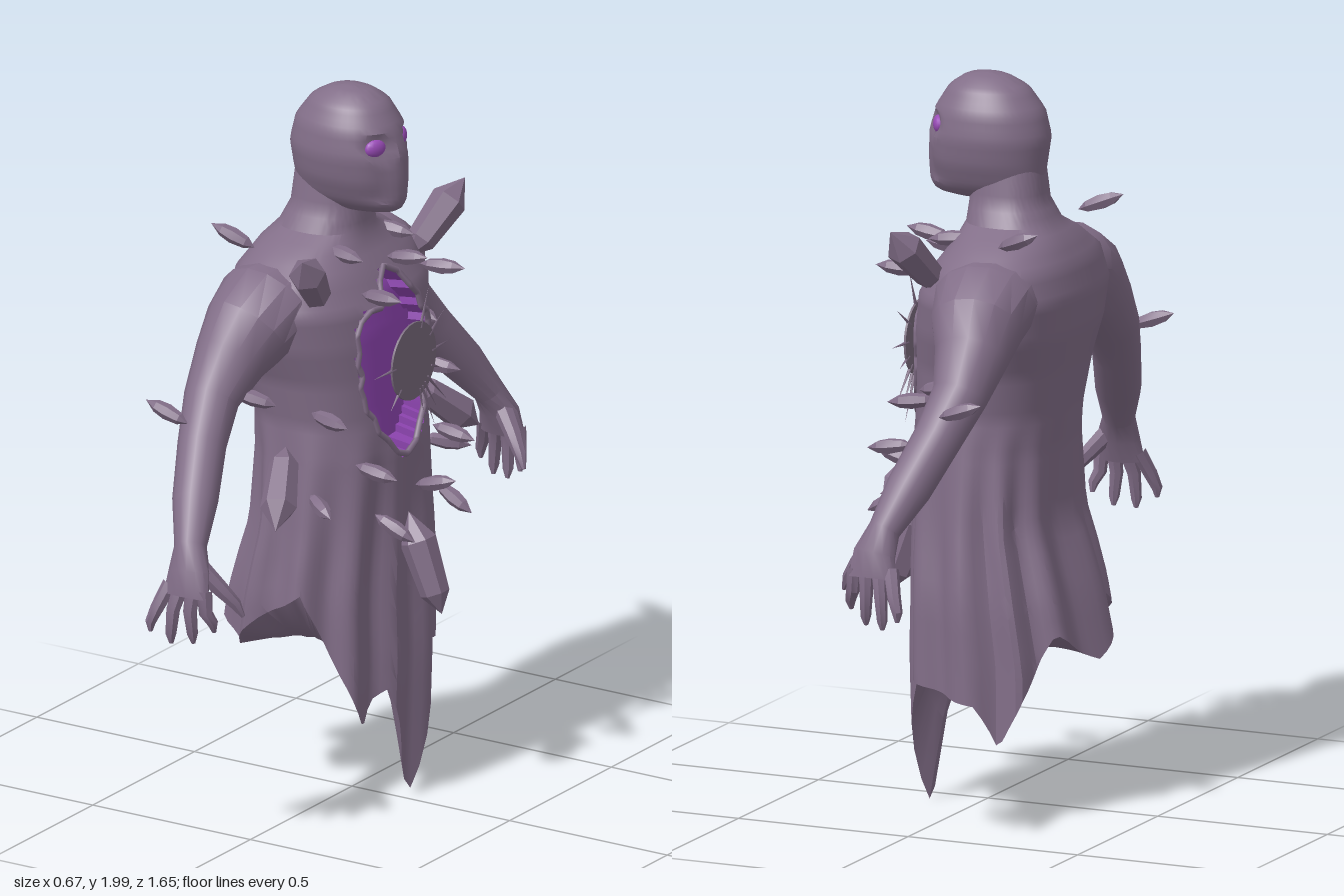
import * as THREE from 'three';
import { toCreasedNormals } from 'three/addons/utils/BufferGeometryUtils.js';

const mat = (name, color, side = THREE.FrontSide) => {
  const m = new THREE.MeshStandardMaterial({ color, side });
  m.name = name;
  return m;
};
const V = (x, y, z) => new THREE.Vector3(x, y, z);
const sp = (c, pow) => Math.sign(c) * Math.abs(c) ** pow;
const BODY_POW = 0.85;

// Linear lookup in rows sorted by their first column
function lookup(rows, k) {
  const up = rows[0][0] < rows[rows.length - 1][0];
  let i = 0;
  while (i < rows.length - 2 && (up ? rows[i + 1][0] < k : rows[i + 1][0] > k)) i++;
  const a = rows[i], b = rows[i + 1];
  const t = THREE.MathUtils.clamp((k - a[0]) / (b[0] - a[0]), 0, 1);
  return a.slice(1).map((v, j) => v + (b[j + 1] - v) * t);
}

// Skin closed rings of points, keeping only the faces that pass the filter
function loft(rings, keep = () => true) {
  const n = rings[0].length, index = [];
  const face = (a, b, c) => { if (keep(a, b, c)) index.push(a, b, c); };
  for (let i = 0; i < rings.length - 1; i++) {
    for (let j = 0; j < n; j++) {
      const k = (j + 1) % n;
      const a = i * n + j, c = i * n + k, b = a + n, d = c + n;
      face(a, c, b);
      face(c, d, b);
    }
  }
  const g = new THREE.BufferGeometry();
  g.setAttribute('position', new THREE.Float32BufferAttribute(rings.flat().flatMap((p) => [p.x, p.y, p.z]), 3));
  g.setIndex(index);
  return toCreasedNormals(g, 0.55);
}

// Tapered limb; each stop is [x, y, z, radius along x, radius across]
function limb(stops, side, sides = 10) {
  const pts = stops.map(([x, y, z]) => V(x, y, z * side));
  const rings = stops.map((s, i) => {
    const d = pts[Math.min(i + 1, pts.length - 1)].clone().sub(pts[Math.max(i - 1, 0)]).normalize();
    const u = V(1, 0, 0);
    u.addScaledVector(d, -u.dot(d)).normalize();
    const v = d.clone().cross(u);
    return Array.from({ length: sides }, (_, j) => {
      const a = (j / sides) * Math.PI * 2;
      return pts[i].clone().addScaledVector(u, Math.cos(a) * s[3]).addScaledVector(v, Math.sin(a) * s[4]);
    });
  });
  rings.push(rings[0].map(() => pts[pts.length - 1].clone()));
  return loft(rings);
}

// Profiles: height, centre x, reach forward, reach back, half width
const BODY = [
  [1.76, -0.06, 0.09, 0.1, 0.085], [1.66, -0.07, 0.11, 0.1, 0.1], [1.6, -0.08, 0.125, 0.12, 0.13],
  [1.56, -0.09, 0.15, 0.145, 0.21], [1.5, -0.1, 0.2, 0.17, 0.3], [1.42, -0.1, 0.245, 0.19, 0.33],
  [1.32, -0.09, 0.25, 0.19, 0.31], [1.22, -0.06, 0.225, 0.2, 0.27], [1.1, -0.04, 0.21, 0.2, 0.25],
  [1.0, -0.03, 0.205, 0.2, 0.258], [0.8, -0.03, 0.195, 0.2, 0.275], [0.6, -0.04, 0.2, 0.25, 0.3],
  [0.42, -0.05, 0.215, 0.28, 0.3], [0, -0.05, 0.2, 0.28, 0.3],
];
const HEAD = [
  [2, 0, 0, 0, 0], [1.99, 0, 0.06, 0.06, 0.045], [1.96, 0, 0.105, 0.115, 0.088],
  [1.9, 0, 0.143, 0.16, 0.12], [1.83, 0, 0.165, 0.177, 0.13], [1.76, 0, 0.168, 0.167, 0.118],
  [1.7, 0, 0.165, 0.16, 0.092], [1.675, 0, 0.155, 0.15, 0.072], [1.66, 0, 0.13, 0.13, 0.05], [1.65, -0.03, 0, 0, 0],
];
// Ragged hem: angle from the front toward +z, height
const HEM = [
  [0, 0.17], [11, 0.34], [20, 0.31], [28, 0.24], [40, 0.36], [75, 0.64], [100, 0.56], [120, 0.45], [145, 0.56], [180, 0.42],
  [212, 0.52], [235, 0.36], [250, 0.21], [262, 0.33], [290, 0.36], [315, 0.38], [330, 0.34], [338, 0.22], [348, 0], [354, 0.05], [360, 0.17],
];
// Chest opening radii, clockwise from the top in even steps
const HOLE_Y = 1.24;
const HOLE = [0.26, 0.185, 0.215, 0.18, 0.155, 0.165, 0.175, 0.21, 0.255, 0.2, 0.165, 0.17, 0.155, 0.18, 0.165, 0.2];
const holeRadius = (a) => {
  const t = ((a / (Math.PI * 2) + 1) % 1) * 16, i = Math.floor(t) % 16;
  return HOLE[i] + (HOLE[(i + 1) % 16] - HOLE[i]) * (t % 1);
};
const inHole = (p) => p.x > -0.05 &&
  Math.hypot(p.z, p.y - HOLE_Y) < holeRadius(Math.atan2(p.z, p.y - HOLE_Y));

function section(rows, y, a, pow) {
  const [xc, f, b, rz] = lookup(rows, y);
  const c = sp(Math.cos(a), pow);
  return V(xc + (c > 0 ? f : b) * c, y, rz * sp(Math.sin(a), pow));
}
function chestX(y, z) {
  const [xc, f, , rz] = lookup(BODY, y);
  const s = Math.min(1, (Math.abs(z) / rz) ** (1 / BODY_POW));
  return xc + f * Math.sqrt(1 - s * s) ** BODY_POW;
}

export function createModel() {
  const model = new THREE.Group();
  const skin = mat('dusky mauve', 0x826e88);
  const cloth = mat('dusky mauve cloth', 0x826e88, THREE.DoubleSide);
  const stone = mat('grey mauve disc', 0x786a7c);
  const glow = mat('violet glow', 0x8f45b2, THREE.DoubleSide);
  const eyeGlow = mat('eye violet', 0x9a4cb8);
  const add = (name, geo, m, parent = model) => {
    const mesh = new THREE.Mesh(geo, m);
    mesh.name = name;
    parent.add(mesh);
    return mesh;
  };

  // Torso and robe, with soft folds and a sunken chest opening
  const N = 96, rings = [];
  for (let i = 0; i <= 50; i++) {
    rings.push(Array.from({ length: N }, (_, j) => {
      const a = (j / N) * Math.PI * 2;
      const hem = lookup(HEM, (j / N) * 360)[0];
      const y = i <= 40 ? 1.76 - (i / 40) * 0.8 : 0.96 + (hem - 0.96) * ((i - 40) / 10);
      const p = section(BODY, y, a, BODY_POW);
      const fold = THREE.MathUtils.clamp((1.1 - y) * 0.045, 0, 0.018) * Math.sin(a * 11 + 0.8 * Math.sin(a * 3));
      p.x += Math.cos(a) * fold;
      p.z += Math.sin(a) * fold;
      return p;
    }));
  }
  // Closed underside: thick tatters rising to a shallow hollow
  const hemRing = rings[rings.length - 1];
  [[0.82, 0.5], [0.6, 0.82], [0.3, 0.95], [0, 1]].forEach(([r, t]) => rings.push(
    hemRing.map((p) => V(-0.05 + (p.x + 0.05) * r, p.y + (0.45 - p.y) * t, p.z * r))));
  const inside = rings.flat().map((p) => inHole(p));
  rings.flat().forEach((p, i) => { if (inside[i]) p.x -= 0.06; });
  const hollow = (a, b, c) => inside[a] || inside[b] || inside[c];
  add('torsoAndRobe', loft(rings, (a, b, c) => !hollow(a, b, c)), cloth);
  add('chestCavity', loft(rings, hollow), glow);

  // Thin jagged rim of the opening
  const rim = new THREE.CurvePath();
  const rimPoint = (i) => {
    const a = (i / 32) * Math.PI * 2, r = holeRadius(a) * (i % 2 ? 1.05 : 1.01);
    const y = HOLE_Y + r * Math.cos(a), z = r * Math.sin(a);
    return V(chestX(y, z), y, z);
  };
  for (let i = 0; i < 32; i++) rim.add(new THREE.LineCurve3(rimPoint(i), rimPoint((i + 1) % 32)));
  add('cavityRim', new THREE.TubeGeometry(rim, 128, 0.009, 5, true), skin);

  // Floating chest disc with thin rays
  const disc = new THREE.Group();
  disc.name = 'chestDisc';
  disc.position.set(0.195, 1.25, 0);
  model.add(disc);
  add('disc', new THREE.CylinderGeometry(0.108, 0.108, 0.006, 32).rotateZ(Math.PI / 2), stone, disc);
  [[1.55, 0.2], [2.35, 0.16], [3.45, 0.17], [3.6, 0.24], [3.75, 0.2], [3.95, 0.22], [4.3, 0.15], [4.75, 0.19], [5.3, 0.19], [5.9, 0.21]]
    .forEach(([a, len]) => {
      const ray = new THREE.ConeGeometry(0.006, len - 0.09, 4).translate(0, (len + 0.09) / 2, 0);
      add('ray', ray.rotateX(a), skin, disc);
    });

  // Head with dented eye sockets and cheeks
  const headRings = [];
  for (let i = 0; i <= 30; i++) {
    const y = 2 - 0.35 * (0.5 - 0.5 * Math.cos((i / 30) * Math.PI));
    headRings.push(Array.from({ length: 48 }, (_, j) => {
      const p = section(HEAD, y, (j / 48) * Math.PI * 2, 0.97);
      if (p.x > 0) {
        const d = Math.hypot((Math.abs(p.z) - 0.063) / 0.045, (y - 1.855) / 0.04);
        p.x -= 0.022 * Math.max(0, 1 - d * d);
        if (y < 1.84 && y > 1.7) p.x -= 0.01 * Math.max(0, 1 - Math.abs(Math.abs(p.z) - 0.06) / 0.04);
      }
      return p;
    }));
  }
  add('head', loft(headRings), skin);

  // Faceted crystal between two ends
  const shard = (name, from, to, r, prof) => {
    const d = to.clone().sub(from), l = d.length();
    const g = new THREE.LatheGeometry(prof.map(([x, y]) => new THREE.Vector2(x * r, y * l)), 6);
    const mesh = add(name, toCreasedNormals(g, 0.3), skin);
    mesh.position.copy(from).add(to).multiplyScalar(0.5);
    mesh.quaternion.setFromUnitVectors(V(0, 1, 0), d.normalize());
  };
  const CRYSTAL = [[0, -0.5], [0.8, -0.3], [1, 0.22], [0, 0.5]];
  const THORN = [[0, -0.5], [0.75, -0.3], [1, 0], [0.8, 0.25], [0, 0.5]];

  for (const s of [1, -1]) {
    const side = s > 0 ? 'near' : 'far';
    const eye = add(side + 'Eye', new THREE.SphereGeometry(0.031, 16, 10), eyeGlow);
    eye.scale.set(0.5, 0.8, 1);
    eye.rotation.y = -0.5 * s;
    eye.position.set(0.115, 1.855, 0.064 * s);

    // Arm with broad shoulder, hand, fingers and thumb
    add(side + 'Arm', limb([
      [-0.1, 1.45, 0.14, 0.13, 0.09], [-0.11, 1.425, 0.25, 0.145, 0.12], [-0.12, 1.375, 0.325, 0.125, 0.125], [-0.135, 1.31, 0.39, 0.1, 0.1],
      [-0.14, 1.22, 0.475, 0.076, 0.072], [-0.115, 1.12, 0.56, 0.066, 0.064], [-0.075, 1.0, 0.655, 0.062, 0.06],
      [-0.04, 0.9, 0.732, 0.044, 0.042], [-0.025, 0.84, 0.762, 0.06, 0.04], [-0.025, 0.775, 0.778, 0.07, 0.028],
    ], s, 14), skin);
    [[-0.078, -0.115, 0.67], [-0.042, -0.062, 0.64], [-0.005, -0.005, 0.645], [0.03, 0.048, 0.68]].forEach(([x0, x1, y], i) =>
      add(side + 'Finger', limb([
        [x0, 0.8, 0.772, 0.022, 0.021], [(x0 + x1) / 2 - 0.004, 0.735, 0.802 - i * 0.01, 0.019, 0.019],
        [x1, y + 0.025, 0.812 - i * 0.018, 0.015, 0.015], [x1, y, 0.812 - i * 0.02, 0.006, 0.006],
      ], s, 7), skin));
    add(side + 'Thumb', limb([
      [-0.01, 0.86, 0.75, 0.028, 0.028], [0.045, 0.795, 0.722, 0.023, 0.023], [0.082, 0.75, 0.7, 0.017, 0.017], [0.1, 0.715, 0.69, 0.006, 0.006],
    ], s, 7), skin);

    // Large shards beside the chest and waist
    shard(side + 'ShoulderShard', V(0.04, 1.45, 0.22 * s), V(0.1, 1.63, 0.4 * s), 0.05, CRYSTAL);
    shard(side + 'WaistShard', V(-0.01, 1.06, 0.31 * s), V(0.08, 0.895, 0.5 * s), 0.05, CRYSTAL);

    // Small thorns: centre, then direction
    [[-0.21, 1.605, 0.26, -1, 0.4, 0.15], [-0.2, 1.21, 0.6, -1, 0.35, 0.05], [-0.05, 1.22, 0.41, -1, 0.2, 0.2],
      [0.05, 1.56, 0.12, 1, -0.1, 0.1], [0.19, 1.472, 0.15, 1, 0.05, 0.1], [0.1, 1.14, 0.265, 1, -0.1, 0.2],
      [0.2, 0.99, 0.19, 1, -0.15, 0], [0.23, 0.825, 0.145, 1, -0.5, -0.1], [0.1, 0.91, 0.31, 0.9, -0.2, 0.6]]
      .forEach(([x, y, z, dx, dy, dz]) => {
        const c = V(x, y, z * s), d = V(dx, dy, dz * s).setLength(0.068);
        shard(side + 'Thorn', c.clone().sub(d), c.clone().add(d), 0.022, THORN);
      });
  }

  // Shards along the centre line
  shard('frontShard', V(0.285, 0.55, 0), V(0.18, 0.82, 0), 0.05, CRYSTAL);
  shard('collarThorn', V(0.11, 1.53, 0), V(0.24, 1.55, 0), 0.022, THORN);
  shard('bellyThorn', V(0.2, 0.9, 0), V(0.33, 0.935, 0), 0.022, THORN);
  return model;
}
